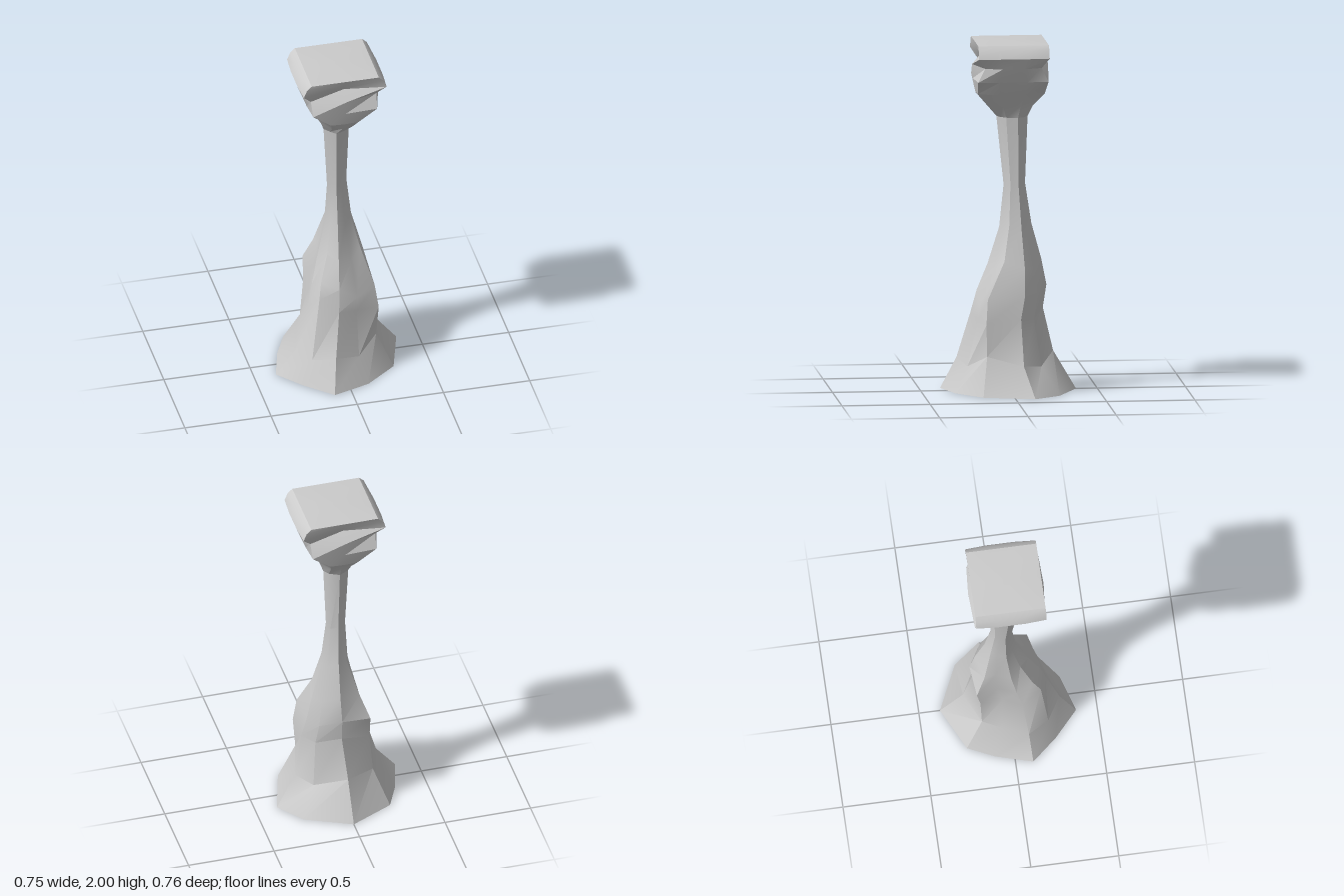
import * as THREE from 'three';
import { toCreasedNormals } from 'three/addons/utils/BufferGeometryUtils.js';

// ten-sided footprint [x, z], starting at the back and going round by +x
const FOOT = [[0, -0.38], [0.26, -0.26], [0.375, -0.11], [0.29, 0.175], [0.11, 0.315],
  [-0.1, 0.38], [-0.25, 0.245], [-0.375, 0.1], [-0.315, -0.11], [-0.245, -0.26]];
const N = FOOT.length;

// shaft levels: y, x min, x max, z min, z max, height variation
const SHAFT = [
  [0, -0.375, 0.375, -0.38, 0.38, 0],
  [0.18, -0.26, 0.255, -0.25, 0.29, 0.04],
  [0.44, -0.18, 0.215, -0.19, 0.215, 0.03],
  [0.57, -0.15, 0.19, -0.21, 0.18, 0.03],
  [0.72, -0.115, 0.16, -0.18, 0.12, 0.03],
  [0.93, -0.065, 0.1, -0.125, 0.055, 0.02],
  [1.17, -0.05, 0.07, -0.09, 0.03, 0.01],
  [1.56, -0.075, 0.085, -0.105, 0.07, 0],
];

// head levels: y, side half width, corner x, corner z, middle z
const HEAD = [
  [1.63, 0.105, 0.06, 0.125, 0.135],
  [1.7, 0.145, 0.08, 0.19, 0.195],
  [1.78, 0.195, 0.185, 0.2, 0.21],
  [1.86, 0.225, 0.19, 0.16, 0.215],
  [1.92, 0.248, 0.24, 0.2, 0.165],
  [1.965, 0.225, 0.222, 0.2, 0.19],
  [1.99, 0.195, 0.195, 0.2, 0.2],
];

// single chipped corners: level, side -> [x, y, z]
const CHIPS = [
  [1, 6, -0.19, 0.14, 0.21], [2, 6, -0.14, 0.52, 0.175], [3, 6, -0.12, 0.6, 0.13],
  [3, 9, -0.15, 0.58, -0.19], [2, 9, -0.15, 0.44, -0.17], [4, 9, -0.1, 0.72, -0.14],
  [3, 3, 0.19, 0.54, 0.14], [2, 3, 0.21, 0.4, 0.15], [3, 4, 0.08, 0.5, 0.175],
];

function shaftRing([y, x0, x1, z0, z1, vary]) {
  return FOOT.map(([fx, fz], i) => [
    (x0 + x1) / 2 + fx / 0.375 * (x1 - x0) / 2,
    y + vary * Math.cos(i * 2.2),
    (z0 + z1) / 2 + fz / 0.38 * (z1 - z0) / 2]);
}

function headRing([y, side, cx, cz, mz]) {
  const plan = [[0, -mz], [cx, -cz], [side, -cz * 0.4], [side, cz * 0.4], [cx, cz],
    [0, mz], [-cx, cz], [-side, cz * 0.4], [-side, -cz * 0.4], [-cx, -cz]];
  return plan.map(([x, z]) => [x + 0.005, y, z - 0.005]);
}

// skin between rings, with an optional cap on the last one
function loft(rings, capY) {
  const index = [];
  for (let r = 0; r < rings.length - 1; r++) {
    for (let i = 0; i < N; i++) {
      const a = r * N + i, b = r * N + (i + 1) % N;
      index.push(a, a + N, b, b, a + N, b + N);
    }
  }
  const points = rings.flat();
  if (capY) {
    const last = (rings.length - 1) * N;
    for (let i = 0; i < N; i++) index.push(last + i, points.length, last + (i + 1) % N);
    points.push([0.005, capY, -0.005]);
  }
  const geometry = new THREE.BufferGeometry();
  geometry.setAttribute('position', new THREE.Float32BufferAttribute(points.flat(), 3));
  geometry.setIndex(index);
  return toCreasedNormals(geometry.toNonIndexed(), 0.5);
}

export function createModel() {
  const group = new THREE.Group();
  group.name = 'rockPillar';
  const stone = new THREE.MeshStandardMaterial({ color: 0xcccccc, side: THREE.DoubleSide });

  // flared shaft, open underneath
  const shaftRings = SHAFT.map(shaftRing);
  for (const [level, side, ...point] of CHIPS) shaftRings[level][side] = point;
  const shaft = new THREE.Mesh(loft(shaftRings), stone);
  shaft.name = 'shaft';

  // blocky head growing out of the neck
  const headRings = [shaftRings[shaftRings.length - 1], ...HEAD.map(headRing)];
  const head = new THREE.Mesh(loft(headRings, 2), stone);
  head.name = 'head';

  group.add(shaft, head);
  return group;
}
